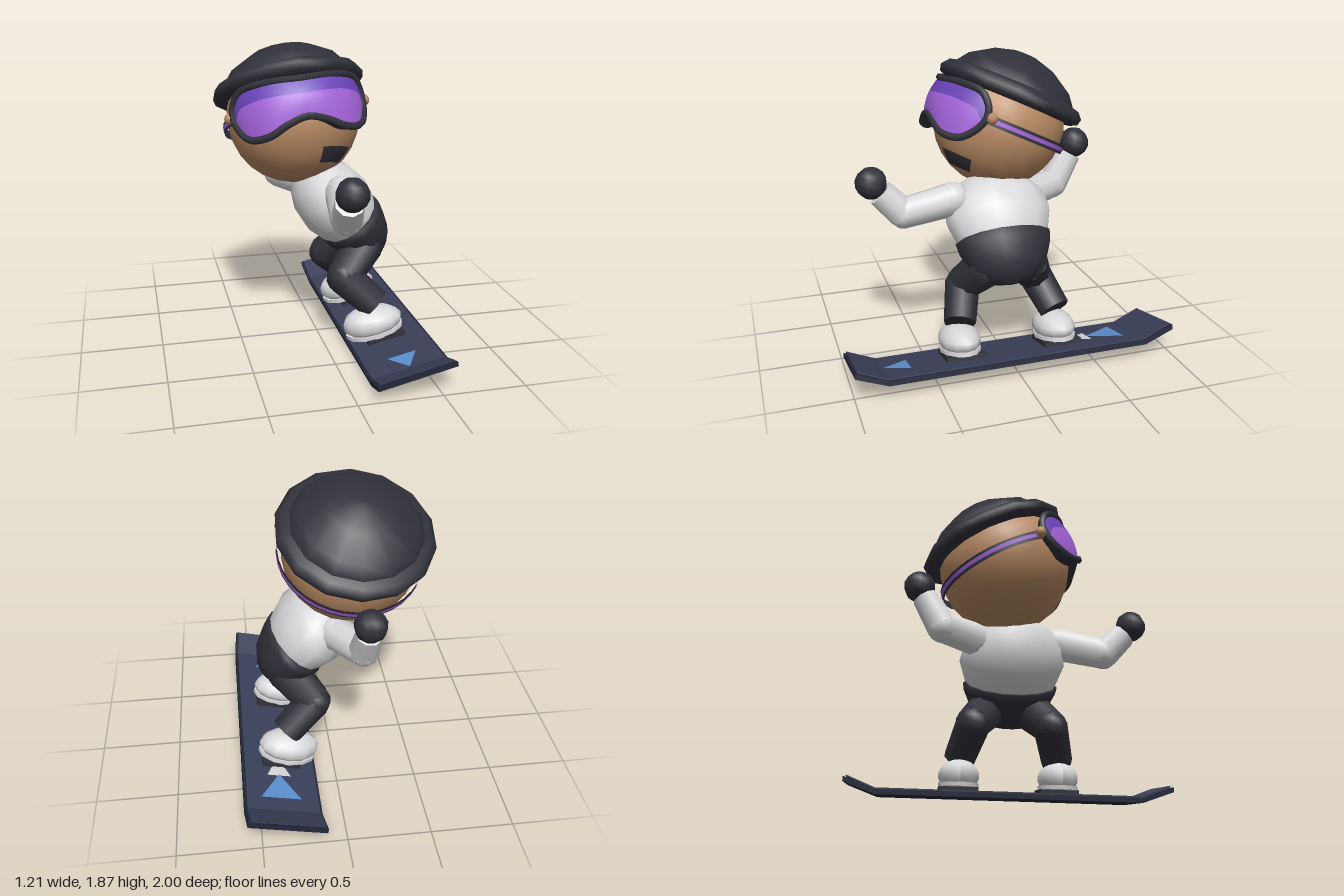
import * as THREE from 'three';

const mat = (name, color, side = THREE.FrontSide) => {
  const m = new THREE.MeshStandardMaterial({ color, side });
  m.name = name;
  return m;
};

export function createModel() {
  const D = THREE.DoubleSide;
  const black = mat('charcoal', 0x31313a, D), white = mat('white', 0xd9d9dc, D), skin = mat('tan', 0xb98a63);
  const lensLow = mat('purple', 0xa262d8, D), lensTop = mat('violet', 0x6b43b8, D);
  const navy = mat('navy', 0x3a4059), dark = mat('darkNavy', 0x23273a), blue = mat('blue', 0x5c91d2, D);

  const model = new THREE.Group();
  model.name = 'snowboarder';
  const V = (x, y, z) => new THREE.Vector3(x, y, z);
  const add = (parent, name, geo, material, pos = [0, 0, 0]) => {
    const m = new THREE.Mesh(geo, material);
    m.name = name;
    m.position.set(...pos);
    parent.add(m);
    return m;
  };
  const group = (name, pos, parent = model) => {
    const g = new THREE.Group();
    g.name = name;
    g.position.set(...pos);
    parent.add(g);
    return g;
  };
  const lathe = (pts, seg) => new THREE.LatheGeometry(pts.map(p => new THREE.Vector2(...p)), seg);
  // surface from a rule f(u, v), both 0..1
  const grid = (nu, nv, f) => {
    const pos = [], idx = [];
    for (let i = 0; i <= nu; i++) for (let j = 0; j <= nv; j++) pos.push(...f(i / nu, j / nv));
    for (let i = 0; i < nu; i++) for (let j = 0; j < nv; j++) {
      const a = i * (nv + 1) + j, b = a + nv + 1;
      idx.push(a, b, a + 1, b, b + 1, a + 1);
    }
    const g = new THREE.BufferGeometry();
    g.setAttribute('position', new THREE.Float32BufferAttribute(pos, 3));
    g.setIndex(idx);
    g.computeVertexNormals();
    return g;
  };
  // chain of tapered segments with rounded joints
  const limb = (name, pts, radii, material) => {
    const g = group(name, [0, 0, 0]);
    for (let i = 0; i < pts.length - 1; i++) {
      const d = pts[i + 1].clone().sub(pts[i]);
      const c = add(g, name + 'Segment', new THREE.CylinderGeometry(radii[i + 1], radii[i], d.length(), 9), material);
      c.position.copy(pts[i]).addScaledVector(d, 0.5);
      c.quaternion.setFromUnitVectors(V(0, 1, 0), d.normalize());
      add(g, name + 'Joint', new THREE.SphereGeometry(radii[i], 9, 7), material, pts[i].toArray());
    }
  };

  // board, tilted on its edge
  const board = group('board', [0.365, 0.051, 0]);
  board.rotation.z = 0.22;
  const boardLayer = (name, y0, y1, width, end, material) => {
    const s = new THREE.Shape();
    [[-end, y0 + 0.07], [-0.81, y0], [0.81, y0], [end, y0 + 0.07], [end, y1 + 0.07], [0.81, y1], [-0.81, y1], [-end, y1 + 0.07]]
      .forEach(([x, y], i) => (i ? s.lineTo(x, y) : s.moveTo(x, y)));
    const geo = new THREE.ExtrudeGeometry(s, { depth: width, bevelEnabled: false });
    add(board, name, geo.translate(0, 0, -width / 2).rotateY(-Math.PI / 2), material);
  };
  boardLayer('boardBase', 0, 0.03, 0.475, 1, dark);
  boardLayer('boardDeck', 0.03, 0.04, 0.445, 0.985, navy);
  const decal = (name, pts, material, y) => {
    const s = new THREE.Shape(pts.map(([x, z]) => new THREE.Vector2(x, -z)));
    add(board, name, new THREE.ShapeGeometry(s).rotateX(-Math.PI / 2), material, [0.01, y, 0]);
  };
  decal('frontArrow', [[-0.09, 0.65], [0.09, 0.65], [0, 0.8]], blue, 0.043);
  decal('backArrow', [[-0.125, -0.71], [0.125, -0.71], [0, -0.5]], blue, 0.045);
  decal('backPatch', [[-0.075, -0.51], [0.075, -0.51], [0.04, -0.43], [-0.04, -0.43]], white, 0.043);

  // boots, bindings, legs
  for (const s of [1, -1]) {
    const n = s > 0 ? 'front' : 'back', z = 0.31 * s;
    add(board, n + 'Binding', new THREE.BoxGeometry(0.24, 0.03, 0.24), black, [-0.01, 0.053, z]);
    add(board, n + 'Sole', new THREE.CylinderGeometry(1, 1, 0.025, 12).scale(0.185, 1, 0.125), white, [-0.05, 0.078, z]);
    const boot = new THREE.SphereGeometry(1, 12, 9).scale(0.19, 0.1, 0.128);
    const p = boot.attributes.position;
    for (let i = 0; i < p.count; i++) {
      p.setY(i, Math.max(p.getY(i), -0.05) + (p.getY(i) > 0 ? p.getX(i) * -0.06 : 0));
    }
    boot.computeVertexNormals();
    add(board, n + 'Boot', boot, white, [-0.05, 0.135, z]);
    limb(n + 'Leg', [V(0.27, 0.62, 0.13 * s), V(0.115, 0.455, 0.24 * s), V(0.3, 0.285, 0.31 * s)],
      [0.13, 0.11, 0.1], black);
  }

  // leaning torso: trousers seat and shirt
  const torso = group('torso', [0.3, 0.65, 0]);
  torso.rotation.z = THREE.MathUtils.degToRad(40);
  torso.scale.z = 1.4;
  const seat = lathe([[0, -0.15], [0.1, -0.12], [0.16, -0.05], [0.19, 0.03], [0.212, 0.1], [0.217, 0.145], [0.2, 0.155]], 14);
  add(torso, 'trousersSeat', seat, black);
  add(torso, 'shirt', lathe([[0.19, 0.12], [0.212, 0.17], [0.24, 0.29], [0.222, 0.41], [0.165, 0.52], [0.08, 0.58], [0, 0.59]], 14), white);

  // arms and gloves
  limb('frontArm', [V(0.09, 1.01, 0.28), V(0.04, 0.935, 0.58), V(0.02, 1.07, 0.71)], [0.105, 0.095, 0.085], white);
  limb('backArm', [V(-0.02, 0.96, -0.24), V(-0.16, 0.965, -0.46), V(-0.17, 1.16, -0.575)], [0.105, 0.095, 0.08], white);
  add(model, 'frontGlove', new THREE.SphereGeometry(0.098, 9, 7), black, [0.02, 1.135, 0.765]);
  add(model, 'backGlove', new THREE.SphereGeometry(0.098, 9, 7), black, [-0.17, 1.23, -0.61]);

  // head, tipped back and rolled
  const head = group('head', [-0.13, 1.42, -0.08]);
  head.rotation.set(-0.44, 0, 0.1, 'ZYX');
  add(head, 'face', new THREE.SphereGeometry(0.412, 20, 14), skin);
  add(head, 'mouth', new THREE.SphereGeometry(0.42, 8, 4, 1.85, 0.75, 2.3, 0.28), black);
  for (const s of [1, -1]) add(head, 'ear', new THREE.SphereGeometry(0.035, 8, 6), skin, [0.41 * s, -0.01, 0.185]);

  // hat with rolled brim
  add(head, 'hatBrim', lathe([[0.34, 0.16], [0.42, 0.135], [0.465, 0.155], [0.475, 0.195], [0.44, 0.235], [0.38, 0.25]], 14), black);
  add(head, 'hatCrown', lathe([[0.4, 0.21], [0.395, 0.25], [0.345, 0.315], [0.2, 0.405], [0.08, 0.44], [0, 0.447]], 14), black);

  // goggles: outline wrapped round the head
  const top = [[0, 0.105], [0.5, 0.12], [0.85, 0.11], [1, 0.03]];
  const bottom = [[0, -0.12], [0.25, -0.15], [0.5, -0.195], [0.8, -0.175], [1, -0.05]];
  const at = (pts, u) => {
    u = Math.abs(u);
    const i = Math.max(1, pts.findIndex(p => p[0] >= u));
    const [a, b] = [pts[i - 1], pts[i]];
    return a[1] + (b[1] - a[1]) * (u - a[0]) / (b[0] - a[0]);
  };
  const wrap = (u, y, r) => [Math.sin(u * 1.06) * r, y, Math.cos(u * 1.06) * r];
  const mirror = pts => pts.slice(1).reverse().map(([u, y]) => [-u, y]);
  const outline = [...mirror(top), ...top, ...bottom.slice().reverse(), ...mirror(bottom).reverse()];
  const rim = new THREE.CatmullRomCurve3(outline.map(([u, y]) => V(...wrap(u, y, 0.447))), true, 'centripetal');
  const goggles = group('goggles', [0, 0, 0], head);
  add(goggles, 'goggleRim', new THREE.TubeGeometry(rim, 64, 0.022, 6, true), black);
  add(goggles, 'goggleSkirt', grid(64, 1, (u, v) => {
    const p = rim.getPoint(u % 1), k = 1 - 0.16 * v;
    return [p.x * k, p.y, p.z * k];
  }), black);
  const lens = (name, v0, v1, material) => add(goggles, name, grid(32, 6, (a, b) => {
    const u = a * 2 - 1, lo = at(bottom, u), hi = at(top, u);
    const split = Math.max(lo, hi - 0.095);
    const y = v0 ? split + (hi - split) * b : lo + (split - lo) * b;
    const bulge = Math.sin(Math.PI * (y - lo) / Math.max(hi - lo, 0.01)) * (1 - u ** 4);
    return wrap(u, y, 0.447 + 0.025 * bulge);
  }), material);
  lens('lensLower', 0, 1, lensLow);
  lens('lensUpper', 1, 1, lensTop);

  // strap round the back with a stripe
  const band = (r, h) => new THREE.CylinderGeometry(r, r, h, 24, 1, true, 1.05, Math.PI * 2 - 2.1);
  add(head, 'strap', band(0.437, 0.058), black, [0, -0.02, 0]);
  add(head, 'strapStripe', band(0.441, 0.024), lensLow, [0, -0.02, 0]);

  return model;
}
